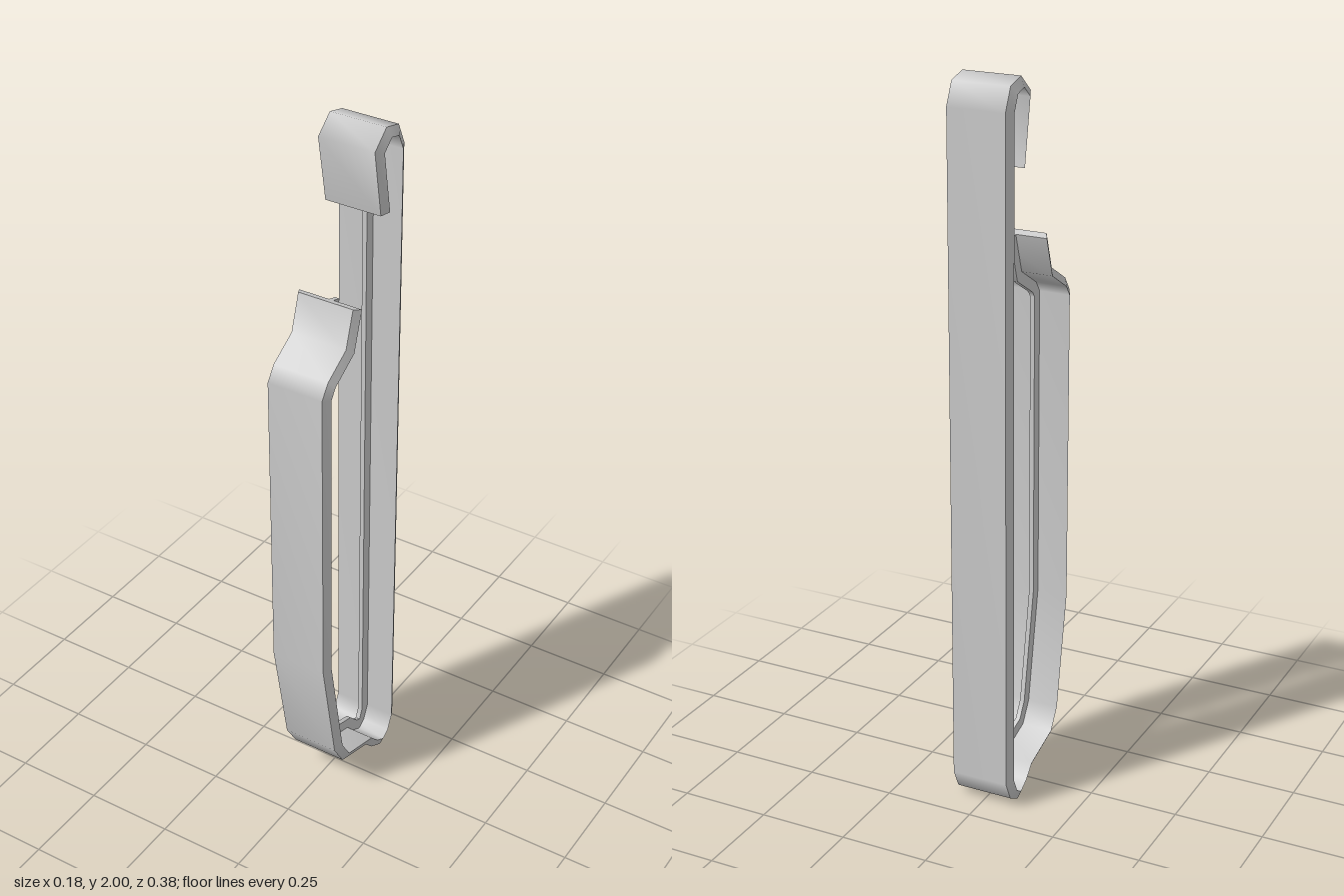
import * as THREE from 'three';

// Outer line of the bent strip as [z, y]: gate tip, down the gate, round the foot, up the spine, over the hook
const PATH = [
  [0.045, 1.57], [0.077, 1.47], [0.16, 1.42], [0.188, 1.38], [0.188, 0.5], [0.13, 0.17],
  [0.087, 0.1], [-0.04, 0.06], [-0.07, 0.028], [-0.118, 0], [-0.162, 0.025], [-0.188, 0.08],
  [-0.188, 1.925], [-0.16, 1.985], [-0.103, 2], [-0.05, 1.955], [-0.082, 1.77],
].map(([z, y]) => new THREE.Vector2(z, y));

// Inward mitre vector at each path point (offset of one unit)
const MITRES = PATH.map((p, i) => {
  const normal = (a, b) => {
    const t = b.clone().sub(a).normalize();
    return new THREE.Vector2(t.y, -t.x);
  };
  const last = PATH.length - 1;
  const n0 = normal(PATH[Math.max(i - 1, 0)], PATH[Math.max(i, 1)]);
  const n1 = normal(PATH[Math.min(i, last - 1)], PATH[Math.min(i + 1, last)]);
  return n0.clone().add(n1).divideScalar(1 + n0.dot(n1));
});

// Sweeps a four-cornered section of [x, depth] along the path; sides are smooth lengthwise, sharp across
function sweep(name, section, material) {
  const pos = [], idx = [];
  const push = (i, [x, d]) => {
    pos.push(x, PATH[i].y + MITRES[i].y * d, PATH[i].x + MITRES[i].x * d);
    return pos.length / 3 - 1;
  };
  section.forEach((a, k) => {
    const b = section[(k + 1) % 4];
    PATH.forEach((_, i) => {
      const v = push(i, a);
      push(i, b);
      if (i > 0) idx.push(v - 2, v, v + 1, v - 2, v + 1, v - 1);
    });
  });
  // End caps
  const [s] = section.map((c) => push(0, c));
  idx.push(s, s + 1, s + 2, s, s + 2, s + 3);
  const [e] = section.map((c) => push(PATH.length - 1, c));
  idx.push(e, e + 2, e + 1, e, e + 3, e + 2);

  const geometry = new THREE.BufferGeometry();
  geometry.setAttribute('position', new THREE.Float32BufferAttribute(pos, 3));
  geometry.setIndex(idx);
  geometry.computeVertexNormals();
  const mesh = new THREE.Mesh(geometry, material);
  mesh.name = name;
  return mesh;
}

export function createModel() {
  const group = new THREE.Group();
  group.name = 'clip';
  const material = new THREE.MeshStandardMaterial({ color: 0xcccccc });
  // Flat band with bevelled edges
  group.add(sweep('band', [[-0.08, 0], [0.08, 0], [0.092, 0.024], [-0.092, 0.024]], material));
  // Thin stiffening rib along the middle of the inner face
  group.add(sweep('innerRib', [[-0.004, 0.022], [0.009, 0.022], [0.009, 0.054], [-0.004, 0.054]], material));
  return group;
}
